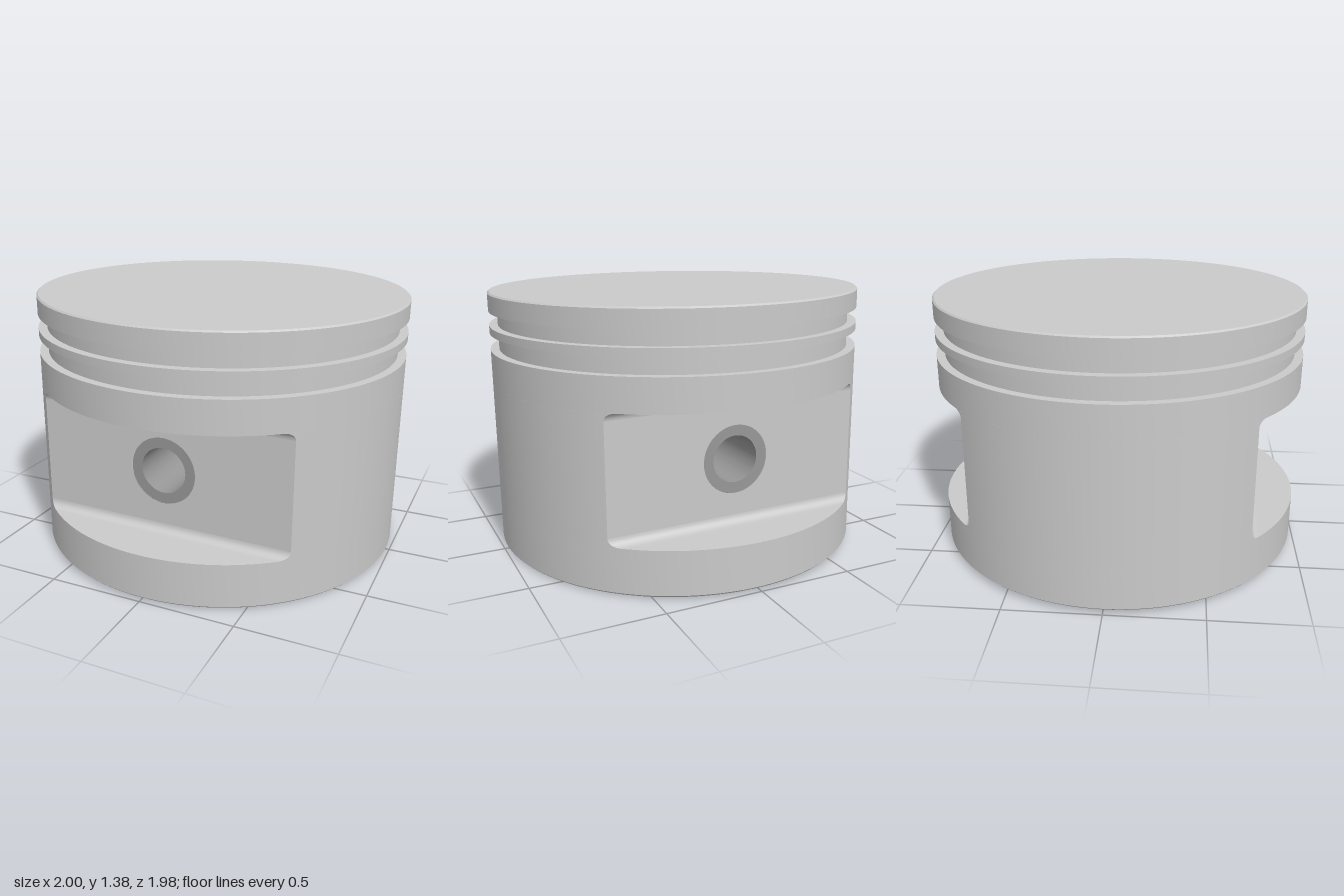
import * as THREE from 'three';
import { toCreasedNormals } from 'three/addons/utils/BufferGeometryUtils.js';

const R = 0.99;             // outer radius
const FLAT = 0.72;          // distance of the side recess from the axis
const LOW = 0.238, HIGH = 0.885; // recess bottom and top
const FILLET = 0.04;
const CEILING = 1.0;        // top of the inner cavity
const BOSS = 0.34;          // inner face of the pin bosses
const PIN_Y = 0.567, PIN_R = 0.175, BORE_R = 0.12;

const V = (x, y, z) => new THREE.Vector3(x, y, z);

// Skin a grid of cross-section rows
function loft(rows) {
  const n = rows[0].length, index = [];
  for (let i = 0; i < rows.length - 1; i++) {
    for (let j = 0; j < n - 1; j++) {
      const a = i * n + j, d = a + n;
      index.push(a, a + 1, d + 1, a, d + 1, d);
    }
  }
  const g = new THREE.BufferGeometry().setFromPoints(rows.flat());
  g.setIndex(index);
  return toCreasedNormals(g, 0.6);
}

const lathe = (pts) => toCreasedNormals(
  new THREE.LatheGeometry(pts.map(([r, y]) => new THREE.Vector2(r, y)), 128), 0.5);

function circle(radius, y = 0) {
  const p = new THREE.Path();
  p.absarc(0, y, radius, 0, Math.PI * 2, false);
  return p;
}

// Flat rectangle standing in the xy plane, pierced for the pin
function piercedPlate(halfWidth, y0, y1) {
  const s = new THREE.Shape([
    new THREE.Vector2(-halfWidth, y0), new THREE.Vector2(halfWidth, y0),
    new THREE.Vector2(halfWidth, y1), new THREE.Vector2(-halfWidth, y1)]);
  s.holes.push(circle(PIN_R, PIN_Y));
  return new THREE.ShapeGeometry(s, 32);
}

// Plan outline (x, z) of the hollow on one side of the bosses
function lobePoints() {
  const a = 48 * Math.PI / 180, r = 0.83;
  const ax = r * Math.cos(a), az = r * Math.sin(a);
  const p = new THREE.Path();
  p.moveTo(0.31, -BOSS);
  p.lineTo(0.40, -0.54);
  p.quadraticCurveTo(0.44, -0.67, ax, -az);
  p.absarc(0, 0, r, -a, a, false);
  p.quadraticCurveTo(0.44, 0.67, 0.40, 0.54);
  p.lineTo(0.31, BOSS);
  return p.getPoints(24);
}

export function createModel() {
  const metal = new THREE.MeshStandardMaterial({ color: 0xcacaca });
  metal.name = 'light grey metal';
  const pinMetal = new THREE.MeshStandardMaterial({ color: 0x979797 });
  pinMetal.name = 'darker pin metal';

  const model = new THREE.Group();
  model.name = 'piston';
  const add = (parent, name, geometry, material = metal) => {
    const m = new THREE.Mesh(geometry, material);
    m.name = name;
    parent.add(m);
    return m;
  };

  // Crown with two ring grooves
  const groove = 0.945;
  add(model, 'crown', lathe([
    [R, HIGH], [R, 1.055], [groove, 1.055], [groove, 1.143], [R, 1.143],
    [R, 1.183], [groove, 1.183], [groove, 1.258], [R, 1.258],
    [R, 1.352], [R - 0.008, 1.36], [0, 1.36]]));

  // Lower skirt band
  add(model, 'lowerSkirt', lathe([[R - 0.01, 0], [R, 0.01], [R, LOW]]));

  // Bottom rim and cavity ceiling, both facing down
  const lobe = lobePoints();
  const opening = [...lobe, ...lobe.map((p) => new THREE.Vector2(-p.x, -p.y))];
  const rimShape = new THREE.Shape(circle(R - 0.01).getPoints(128));
  rimShape.holes.push(new THREE.Path(opening));
  add(model, 'bottomRim', new THREE.ShapeGeometry(rimShape)).rotation.x = Math.PI / 2;
  const ceiling = add(model, 'cavityCeiling', new THREE.ShapeGeometry(new THREE.Shape(opening)));
  ceiling.rotation.x = Math.PI / 2;
  ceiling.position.y = CEILING;

  // Recess profile (y, z): ledge, fillet, flat, fillet, ledge
  const lower = [[LOW, R - 0.0001]];
  for (let i = 0; i <= 6; i++) {
    const t = i / 6 * Math.PI / 2;
    lower.push([LOW + FILLET * (1 - Math.cos(t)), FLAT + FILLET * (1 - Math.sin(t))]);
  }
  const upper = lower.map(([y, z]) => [LOW + HIGH - y, z]).reverse();
  const ledge = (profile) => loft(profile.map(([y, z]) => {
    // subdivide the outermost row area so the rim follows the circle
    const w = Math.sqrt(R * R - z * z);
    return Array.from({ length: 9 }, (_, j) => V(w * (j / 4 - 1), y, z));
  }));
  const refine = (profile, atStart) => {
    const extra = [];
    for (let k = 1; k < 16; k++) {
      const z = FLAT + FILLET + (R - FLAT - FILLET) * (1 - (k / 16) ** 2);
      extra.push([atStart ? LOW : HIGH, z]);
    }
    return atStart
      ? [profile[0], ...extra.slice().sort((a, b) => b[1] - a[1]), ...profile.slice(1)]
      : [...profile.slice(0, -1), ...extra.slice().sort((a, b) => a[1] - b[1]), profile.at(-1)];
  };
  const arcRow = ([y, z]) => {
    const a = Math.asin(z / R);
    return Array.from({ length: 65 }, (_, j) => {
      const t = a * (1 - j / 32);
      return V(R * Math.cos(t), y, R * Math.sin(t));
    });
  };

  // Two identical halves, turned half a circle
  for (let k = 0; k < 2; k++) {
    const half = new THREE.Group();
    half.name = k ? 'rearHalf' : 'frontHalf';
    half.rotation.y = k * Math.PI;
    model.add(half);
    add(half, 'recessLowerLedge', ledge(refine(lower, true)));
    add(half, 'recessUpperLedge', ledge(refine(upper, false)));
    add(half, 'recessFlat',
      piercedPlate(Math.sqrt(R * R - FLAT * FLAT), LOW + FILLET, HIGH - FILLET)).position.z = FLAT;
    add(half, 'bossInnerFace', piercedPlate(0.31, 0, CEILING)).position.z = -BOSS;
    add(half, 'skirt', loft([...lower, ...upper].map(arcRow)));
    add(half, 'cavityWall', loft([0, CEILING].map((y) => lobe.map((p) => V(p.x, y, p.y)))));
  }

  // Hollow wrist pin through both bosses
  const L = FLAT - 0.005;
  const pin = add(model, 'wristPin', lathe([
    [PIN_R, -L], [PIN_R, L], [BORE_R, L], [BORE_R, -L], [PIN_R, -L]]), pinMetal);
  pin.rotation.x = Math.PI / 2;
  pin.position.y = PIN_Y;

  // Slight lean to the side
  model.rotation.z = -0.0125;
  model.position.set(-0.0085, 0.0125, 0);
  const root = new THREE.Group();
  root.name = 'pistonAssembly';
  root.add(model);
  return root;
}
